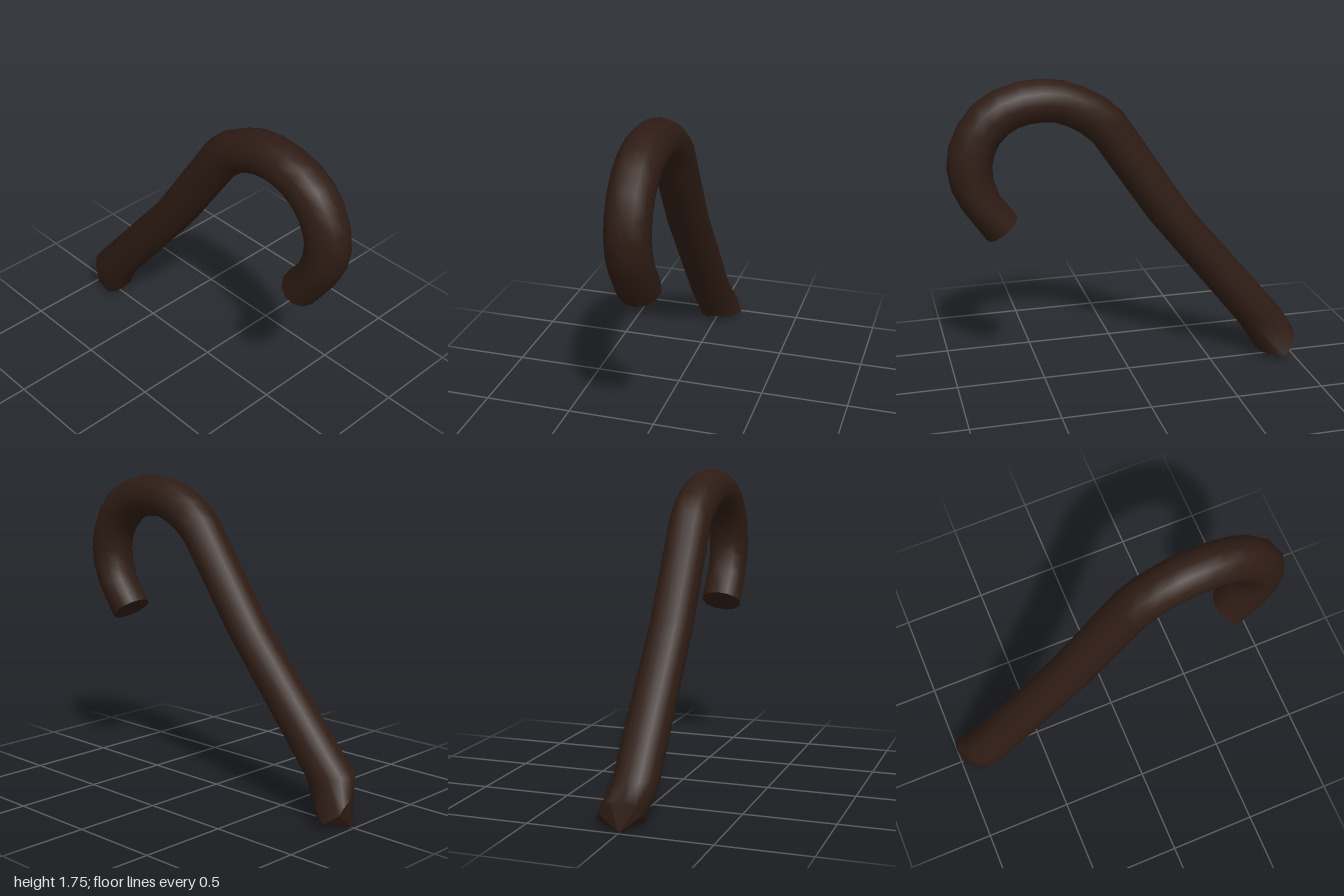
import * as THREE from 'three';

const SIDES = 12;
const HALF_WIDTH = 0.12;

// Cane sections: outer [z, y], inner [z, y], x offset
const sections = [
  [0.80, 0.87, 0.63, 1.00, 0],
  [0.93, 1.06, 0.72, 1.12, 0],
  [0.98, 1.17, 0.75, 1.21, 0],
  [1.00, 1.29, 0.755, 1.28, 0],
  [0.985, 1.41, 0.74, 1.35, 0],
  [0.93, 1.53, 0.71, 1.41, 0],
  [0.85, 1.63, 0.66, 1.46, 0],
  [0.74, 1.70, 0.61, 1.49, 0],
  [0.61, 1.74, 0.55, 1.505, 0],
  [0.48, 1.75, 0.48, 1.51, 0],
  [0.36, 1.735, 0.41, 1.505, 0],
  [0.24, 1.69, 0.34, 1.48, 0],
  [0.13, 1.63, 0.27, 1.44, 0],
  [0.03, 1.54, 0.20, 1.38, 0],
  [-0.36, 0.96, -0.12, 0.91, -0.015],
  [-0.95, 0.26, -0.68, 0.21, -0.03],
];

// Uneven ring at the foot, [x, y, z]
const footRing = [
  [0.04, 0.16, -1.0], [0.08, 0.13, -0.995], [0.11, 0.09, -0.985],
  [0.15, 0.04, -0.92], [0.14, 0.04, -0.87], [0.07, 0.04, -0.80],
  [0, 0.05, -0.78], [-0.05, 0.03, -0.80], [-0.085, 0.02, -0.84],
  [-0.10, 0.08, -0.91], [-0.07, 0.12, -0.94], [-0.02, 0.15, -0.97],
];

function sectionRing([oz, oy, iz, iy, x]) {
  return Array.from({ length: SIDES }, (_, i) => {
    const a = (i / SIDES) * Math.PI * 2;
    const t = (1 - Math.cos(a)) / 2;
    return [x + HALF_WIDTH * Math.sin(a), oy + (iy - oy) * t, oz + (iz - oz) * t];
  });
}

function buildGeometry(points, index) {
  const geometry = new THREE.BufferGeometry();
  geometry.setAttribute('position', new THREE.Float32BufferAttribute(points.flat(), 3));
  geometry.setIndex(index);
  geometry.computeVertexNormals();
  return geometry;
}

// Smooth skin joining consecutive rings
function loft(rings) {
  const index = [];
  for (let k = 0; k < rings.length - 1; k++) {
    for (let i = 0; i < SIDES; i++) {
      const j = (i + 1) % SIDES;
      const a = k * SIDES + i, b = k * SIDES + j;
      index.push(a, b, a + SIDES, b, b + SIDES, a + SIDES);
    }
  }
  return buildGeometry(rings.flat(), index);
}

// Fan closing a ring
function cap(ring, centre, flip) {
  const index = [];
  for (let i = 0; i < SIDES; i++) {
    const j = (i + 1) % SIDES;
    index.push(SIDES, flip ? j : i, flip ? i : j);
  }
  return buildGeometry([...ring, centre], index);
}

export function createModel() {
  const group = new THREE.Group();
  group.name = 'cane';
  const wood = new THREE.MeshStandardMaterial({ color: 0x2e1c14 });
  const faceted = new THREE.MeshStandardMaterial({ color: 0x2e1c14, flatShading: true });

  const add = (name, geometry, material) => {
    const mesh = new THREE.Mesh(geometry, material);
    mesh.name = name;
    group.add(mesh);
  };

  const rings = [...sections.map(sectionRing), footRing];
  add('shaftAndHook', loft(rings), wood);
  add('hookEnd', cap(rings[0], [0, 0.935, 0.715], true), faceted);
  add('footEnd', cap(footRing, [0, 0, -0.99], false), faceted);
  return group;
}
